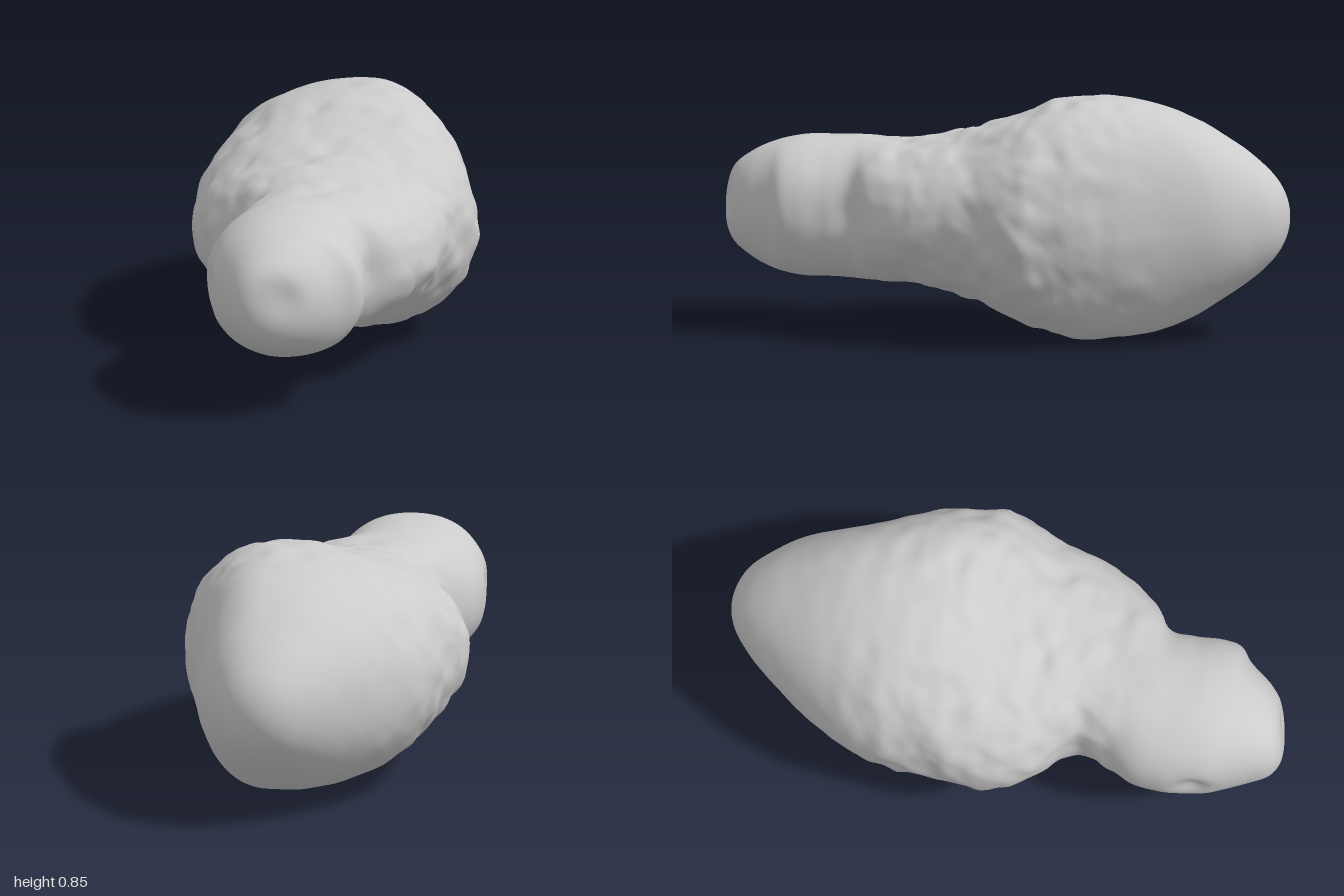
import * as THREE from 'three';

const MID_Y = 0.425, RINGS = 190, SIDES = 160;

// Cross-sections along z: [z, right edge x, left edge x, ridge x, half height]
const STATIONS = [
  [-1, -0.04, -0.04, -0.04, 0], [-0.97, -0.14, 0.07, -0.03, 0.11],
  [-0.9, -0.215, 0.145, -0.02, 0.19], [-0.8, -0.29, 0.22, 0, 0.265],
  [-0.6, -0.41, 0.3, 0.05, 0.375], [-0.4, -0.485, 0.395, 0.08, 0.415],
  [-0.3, -0.49, 0.44, 0.09, 0.418], [-0.2, -0.49, 0.475, 0.08, 0.402],
  [-0.13, -0.495, 0.497, 0.07, 0.378], [0, -0.49, 0.45, 0.04, 0.33],
  [0.1, -0.455, 0.415, 0.01, 0.29], [0.2, -0.375, 0.41, -0.01, 0.268],
  [0.27, -0.305, 0.39, -0.02, 0.255], [0.3, -0.285, 0.375, -0.02, 0.25],
  [0.4, -0.3, 0.325, -0.03, 0.246], [0.47, -0.328, 0.265, -0.04, 0.248],
  [0.5, -0.338, 0.222, -0.04, 0.249], [0.6, -0.345, 0.212, -0.05, 0.247],
  [0.7, -0.33, 0.225, -0.05, 0.245], [0.77, -0.31, 0.215, -0.05, 0.233],
  [0.81, -0.29, 0.17, -0.05, 0.222], [0.9, -0.24, 0.11, -0.07, 0.18],
  [0.97, -0.195, 0.03, -0.09, 0.12], [1, -0.12, -0.12, -0.12, 0],
];

// Shallow hollows: [x, y, z, radius, depth]
const DENTS = [
  [-0.33, 0.42, 0.72, 0.06, 0.03], [-0.02, 0.46, 0.97, 0.07, 0.02],
  [0.23, 0.43, 0.5, 0.07, 0.015], [-0.3, 0.42, 0.28, 0.08, 0.01],
];

function hash(x, y, z) {
  const s = Math.sin(x * 127.1 + y * 311.7 + z * 74.7) * 43758.5453;
  return (s - Math.floor(s)) * 2 - 1;
}

// Smooth value noise in -1..1
function noise(x, y, z) {
  const i = Math.floor(x), j = Math.floor(y), k = Math.floor(z);
  const fade = (t) => t * t * (3 - 2 * t);
  const u = fade(x - i), v = fade(y - j), w = fade(z - k);
  const mix = THREE.MathUtils.lerp;
  const row = (b, c) => mix(hash(i, j + b, k + c), hash(i + 1, j + b, k + c), u);
  return mix(mix(row(0, 0), row(1, 0), v), mix(row(0, 1), row(1, 1), v), w);
}

// Radial roughness, strongest on the waist of the large lobe
function roughness(x, y, z) {
  const step = THREE.MathUtils.smoothstep;
  const waist = step(z, -0.75, -0.1) * (1 - step(z, 0.36, 0.5));
  return (0.002 + 0.009 * waist) * noise(x * 13, y * 13, z * 17)
    + 0.006 * noise(x * 5 + 9, y * 5, z * 5)
    + 0.003 * waist * noise(x * 26, y * 26, z * 30);
}

function bodyGeometry() {
  // Stations are spaced by polar angle so both ends close roundly
  const polar = STATIONS.map(([z]) => Math.acos(-z));
  const spline = new THREE.CubicInterpolant(polar, STATIONS.flatMap((s) => s.slice(1)), 4, new Float32Array(4));
  const pos = [], index = [];
  for (let i = 0; i <= RINGS; i++) {
    const a = Math.PI * i / RINGS;
    const [right, left, ridge, half] = spline.evaluate(a);
    const endFade = Math.sin(a);
    for (let j = 0; j < SIDES; j++) {
      const t = 2 * Math.PI * j / SIDES;
      const c = Math.cos(t), s = Math.sin(t);
      // Slightly squared oval, with its ridge off centre
      const round = (v) => Math.sign(v) * Math.abs(v) ** 0.94;
      let x = ridge + (c > 0 ? left - ridge : ridge - right) * round(c);
      let y = MID_Y + half * round(s);
      let z = -Math.cos(a);
      const bump = roughness(x, y, z) * endFade;
      x += c * bump;
      y += s * bump;
      for (const [dx, dy, dz, r, depth] of DENTS) {
        const d2 = (x - dx) ** 2 + (y - dy) ** 2 + (z - dz) ** 2;
        const push = depth * Math.exp(-d2 / (r * r));
        if (dz > 0.9) z -= push;
        else x -= Math.sign(dx) * push;
      }
      pos.push(x, y, z);
      if (i < RINGS) {
        const n = (j + 1) % SIDES, p = i * SIDES, q = p + SIDES;
        if (i > 0) index.push(p + j, p + n, q + n);
        if (i < RINGS - 1 || i === 0) index.push(p + j, q + n, q + j);
        else index.push(p + j, p + n, q + j);
      }
    }
  }
  const geo = new THREE.BufferGeometry();
  geo.setAttribute('position', new THREE.Float32BufferAttribute(pos, 3));
  geo.setIndex(index);
  geo.computeVertexNormals();
  return geo;
}

export function createModel() {
  const group = new THREE.Group();
  group.name = 'asteroid';
  // One continuous rock: large lobe, neck and small lobe
  const rock = new THREE.Mesh(bodyGeometry(), new THREE.MeshStandardMaterial({ color: 0xcccccc, roughness: 0.9 }));
  rock.name = 'rockBody';
  group.add(rock);
  return group;
}
